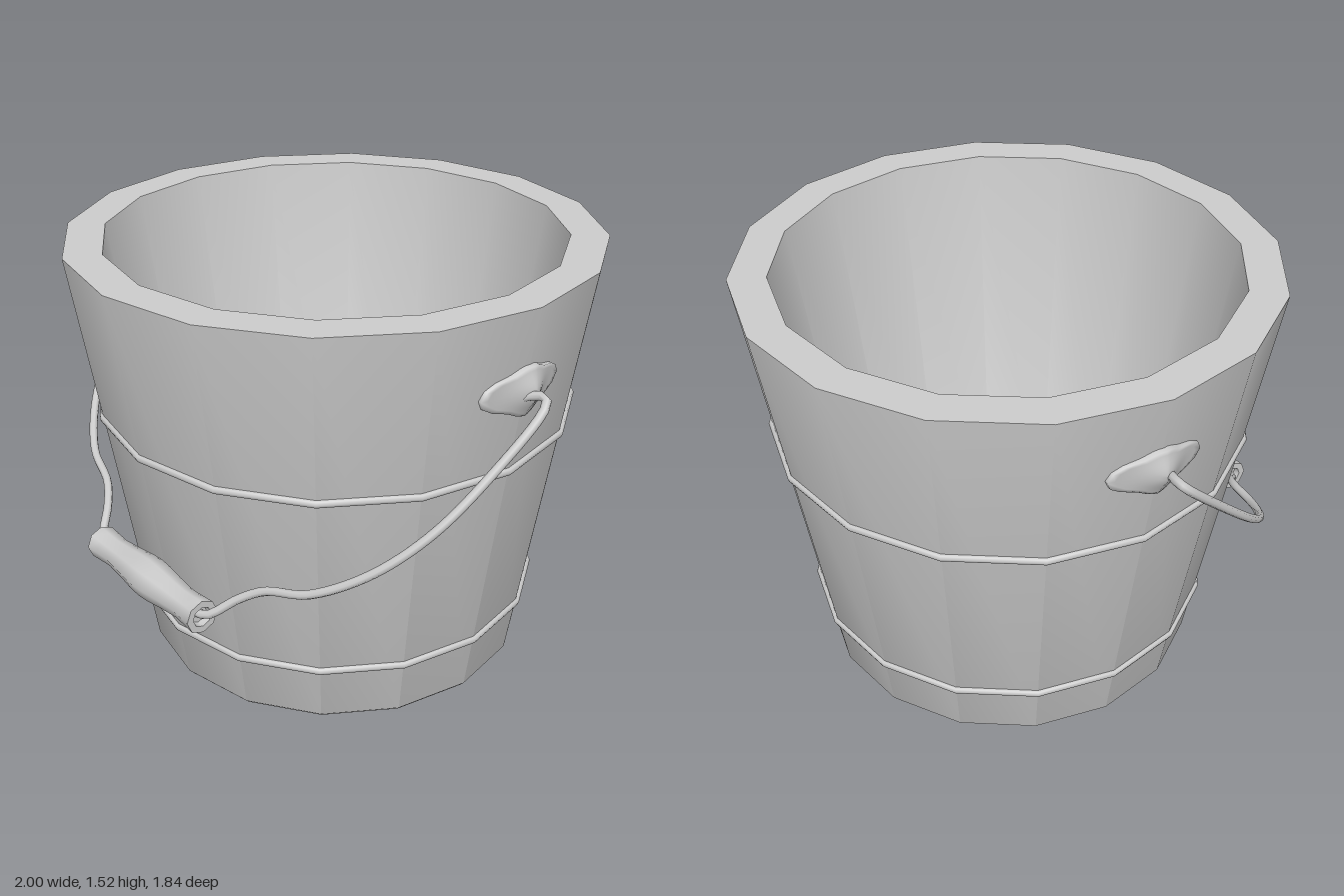
import * as THREE from 'three';
import { toCreasedNormals, mergeVertices } from 'three/addons/utils/BufferGeometryUtils.js';

const SIDES = 16;
const HEIGHT = 1.525;
const TAPER = 0.148; // how far the wall leans out per unit of height
const wallRadius = (y) => 0.694 + TAPER * y;
const material = new THREE.MeshStandardMaterial({ color: 0xcccccc });

function part(name, geometry) {
  const mesh = new THREE.Mesh(geometry, material);
  mesh.name = name;
  return mesh;
}

function lathe(profile, sides, crease) {
  const points = profile.map(([r, y]) => new THREE.Vector2(r, y));
  return toCreasedNormals(new THREE.LatheGeometry(points, sides), crease);
}

// Domed plate with two side lobes, wrapped around the wall's corner edge
function earGeometry(y0) {
  const rows = 8;
  const geometry = new THREE.PlaneGeometry(1, 1, 32, rows);
  const { position, uv } = geometry.attributes;
  for (let i = 0; i < position.count; i++) {
    const angle = uv.getX(i) * Math.PI * 2;
    const t = uv.getY(i);
    const s = Math.min(1, (t * rows) / (rows - 1));
    const r = s * (0.088 + 0.082 * Math.abs(Math.cos(angle)) ** 8);
    const y = r * Math.sin(angle);
    const z = r * Math.cos(angle);
    const lift = t > 0.99 ? -0.02 : 0.012 + 0.036 * Math.exp(-((r / 0.07) ** 2));
    position.setXYZ(i, wallRadius(y0) + TAPER * y - 0.199 * Math.abs(z) + lift, y0 + y, z);
  }
  geometry.deleteAttribute('uv');
  geometry.deleteAttribute('normal');
  const merged = mergeVertices(geometry, 1e-5);
  merged.computeVertexNormals();
  return merged;
}

export function createModel() {
  const model = new THREE.Group();
  model.name = 'bucket';

  // Thick-walled body with a closed floor
  model.add(part('body', lathe([
    [0, 0], [0.683, 0], [wallRadius(0.015), 0.015], [wallRadius(HEIGHT), HEIGHT],
    [0.79, HEIGHT], [0.578, 0.08], [0.56, 0.06], [0, 0.06],
  ], SIDES, 0.6)));

  // Two hoops around the wall
  for (const y of [0.225, 0.94]) {
    const hoop = part('hoop', new THREE.TorusGeometry(wallRadius(y), 0.014, 8, SIDES));
    hoop.rotation.x = Math.PI / 2;
    hoop.position.y = y;
    model.add(hoop);
  }

  // Ears that hold the wire
  for (const [name, turn] of [['leftEar', 0], ['rightEar', Math.PI]]) {
    const ear = part(name, earGeometry(1.245));
    ear.rotation.y = turn;
    model.add(ear);
  }

  // Wire handle, lying in one sloping plane and mirrored across x = 0
  const half = [
    [0.89, 1.23], [0.925, 1.245], [0.965, 1.252], [0.985, 1.23], [0.955, 1.06], [0.89, 0.89],
    [0.78, 0.755], [0.62, 0.65], [0.46, 0.602], [0.385, 0.555], [0.315, 0.49], [0.26, 0.478],
  ];
  const mirrored = half.map(([x, y]) => [-x, y]).reverse();
  const path = [...half, ...mirrored].map(
    ([x, y]) => new THREE.Vector3(x, y, (1.258 - y) * 1.064));
  const curve = new THREE.CatmullRomCurve3(path);
  model.add(part('wireHandle', new THREE.TubeGeometry(curve, 110, 0.015, 8)));

  // Turned grip with hollowed ends
  const grip = part('grip', lathe([
    [0, -0.275], [0.033, -0.275], [0.036, -0.3], [0.06, -0.3], [0.056, -0.25], [0.053, -0.2],
    [0.06, -0.12], [0.069, -0.05], [0.072, 0], [0.069, 0.05], [0.06, 0.12],
    [0.053, 0.2], [0.056, 0.25], [0.06, 0.3], [0.036, 0.3], [0.033, 0.275], [0, 0.275],
  ], 8, 0.9));
  grip.rotation.z = Math.PI / 2;
  grip.position.set(0, 0.478, 0.83);
  model.add(grip);

  return model;
}
